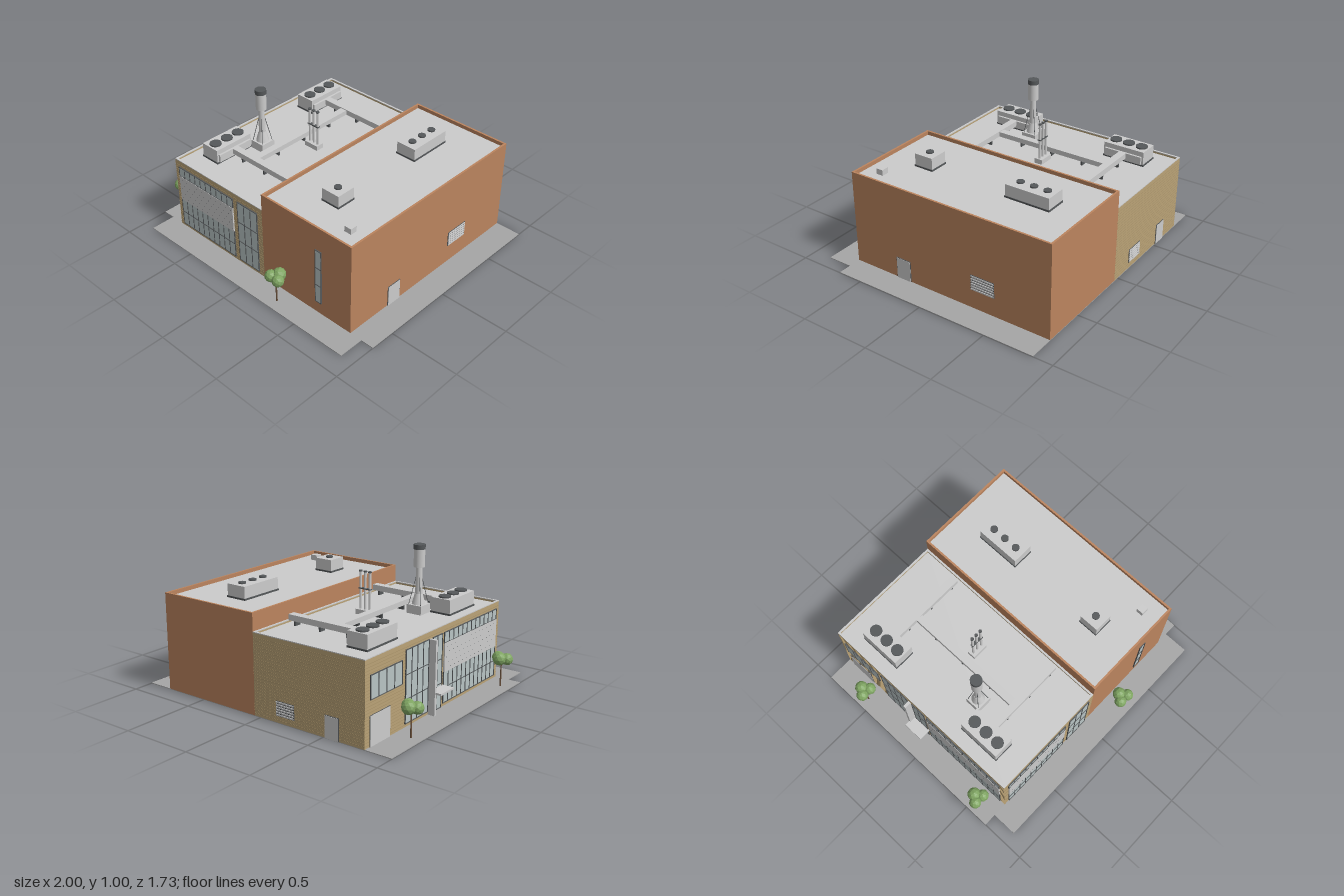
import * as THREE from 'three';
import { mergeGeometries } from 'three/addons/utils/BufferGeometryUtils.js';

const mat = (color) => new THREE.MeshStandardMaterial({ color });
const M = {
  grey: mat(0xcccccc), brown: mat(0xbb845e), tan: mat(0xbaa377), course: mat(0xa99268),
  paving: mat(0xa5a5a5), dark: mat(0x55585a), glass: mat(0xb8c4c4), leaf: mat(0x7fa562), bark: mat(0x6b513c),
};
M.leaf.flatShading = true;

// Box geometry from its limits
function span(x0, x1, y0, y1, z0, z1) {
  return new THREE.BoxGeometry(x1 - x0, y1 - y0, z1 - z0)
    .translate((x0 + x1) / 2, (y0 + y1) / 2, (z0 + z1) / 2);
}
function add(parent, name, geos, material) {
  const mesh = new THREE.Mesh(Array.isArray(geos) ? mergeGeometries(geos) : geos, material);
  mesh.name = name;
  parent.add(mesh);
  return mesh;
}
function group(parent, name) {
  const g = new THREE.Group();
  g.name = name;
  parent.add(g);
  return g;
}
const cyl = (r0, r1, y0, y1, x, z, n = 20) =>
  new THREE.CylinderGeometry(r1, r0, y1 - y0, n).translate(x, (y0 + y1) / 2, z);

// Thin rod between two points
function rod(a, b, r) {
  const p = new THREE.Vector3(...a), q = new THREE.Vector3(...b);
  return new THREE.TubeGeometry(new THREE.LineCurve3(p, q), 1, r, 6);
}

const Z0 = -0.86, Z1 = 0.68, XL = -0.81, XM = 0.045, XR = 0.815;

// Hall with a sunken roof and a parapet
function hall(parent, name, x0, x1, height, roofY, wall, coping) {
  const g = group(parent, name), t = 0.014, c = height - 0.006;
  add(g, 'walls', span(x0, x1, 0.004, roofY - 0.004, Z0, Z1), wall);
  add(g, 'roof', span(x0 + t, x1 - t, roofY - 0.004, roofY, Z0 + t, Z1 - t), M.grey);
  const ring = (a, b) => [
    span(x0, x1, a, b, Z0, Z0 + t), span(x0, x1, a, b, Z1 - t, Z1),
    span(x0, x0 + t, a, b, Z0 + t, Z1 - t), span(x1 - t, x1, a, b, Z0 + t, Z1 - t)];
  add(g, 'parapet', ring(roofY - 0.004, c), wall);
  add(g, 'coping', ring(c, height), coping);
  return g;
}

// Glazing on a wall, in wall coordinates: panes across and up, dark bars
function glazing(wall, name, u0, u1, v0, v1, across, up) {
  const g = group(wall, name), b = 0.002, bars = [];
  add(g, 'glass', span(u0, u1, v0, v1, 0, 0.004), M.glass);
  for (let i = 0; i <= across; i++) {
    const u = u0 + (u1 - u0) * i / across;
    bars.push(span(u - b, u + b, v0, v1, 0, 0.008));
  }
  for (let j = 0; j <= up; j++) {
    const v = v0 + (v1 - v0) * j / up;
    bars.push(span(u0 - b, u1 + b, v - b, v + b, 0, 0.008));
  }
  add(g, 'glazingBars', bars, M.dark);
}

// Wide shopfront: window strip above, perforated screen, tall panes below
function shopfront(wall, u0, u1) {
  const n = Math.round((u1 - u0) / 0.054);
  glazing(wall, 'upperWindows', u0, u1, 0.435, 0.505, n, 1);
  glazing(wall, 'lowerWindows', u0, u1, 0.03, 0.24, n, 2);
  add(wall, 'screen', span(u0, u1, 0.24, 0.435, 0, 0.01), M.grey);
  const holes = [];
  for (let j = 0; j < 5; j++)
    for (let u = u0 + 0.025 + (j % 2) * 0.025; u < u1 - 0.01; u += 0.05)
      holes.push(new THREE.CircleGeometry(0.003, 8).translate(u, 0.265 + j * 0.036, 0.0106));
  add(wall, 'screenHoles', holes, M.dark);
}

function louver(wall, u0, u1, v0, v1) {
  const g = group(wall, 'louver'), slats = [], n = 6, h = (v1 - v0) / n;
  add(g, 'louverBack', span(u0, u1, v0, v1, 0, 0.003), M.dark);
  for (let i = 0; i < n; i++)
    slats.push(span(u0 + 0.004, u1 - 0.004, v0 + h * (i + 0.25), v0 + h * (i + 0.8), 0, 0.008));
  add(g, 'louverSlats', slats, M.grey);
}

function door(wall, u0, u1, v1) {
  add(wall, 'doorFrame', span(u0 - 0.003, u1 + 0.003, 0.004, v1 + 0.003, 0, 0.004), M.dark);
  add(wall, 'door', span(u0, u1, 0.004, v1, 0, 0.006), M.grey);
}

// Rooftop cooling unit with a row of fans along z
function coolingUnit(parent, x0, x1, z0, z1, y0, y1, fanR, fanZ) {
  const g = group(parent, 'coolingUnit'), x = (x0 + x1) / 2;
  add(g, 'unitBase', span(x0 - 0.004, x1 + 0.004, y0, y0 + 0.012, z0 - 0.004, z1 + 0.004), M.dark);
  add(g, 'unitBody', span(x0, x1, y0, y1, z0, z1), M.grey);
  add(g, 'fans', fanZ.map((z) => cyl(fanR, fanR, y1, y1 + 0.01, x, z)), M.dark);
}

function tree(parent, x, z) {
  const g = group(parent, 'tree');
  g.position.set(x, 0, z);
  add(g, 'trunk', cyl(0.006, 0.004, 0, 0.19, 0, 0, 8), M.bark);
  const blobs = [[-0.034, 0.2, 0.012], [0.034, 0.2, 0.016], [0, 0.207, -0.03]].map(([a, b, c], i) =>
    new THREE.IcosahedronGeometry(i === 2 ? 0.046 : 0.042, 1).rotateY(i).translate(a, b, c));
  add(g, 'crown', blobs, M.leaf);
}

export function createModel() {
  const model = new THREE.Group();
  model.name = 'industrialBuilding';

  // Paving
  add(model, 'paving', [span(-1, 1, 0, 0.005, Z0, Z1), span(-0.91, 0.905, 0, 0.005, Z1, 0.86)], M.paving);

  // Two halls
  const low = hall(model, 'lowHall', XL, XM, 0.557, 0.54, M.tan, M.grey);
  hall(model, 'tallHall', XM, XR, 0.677, 0.65, M.brown, M.brown);

  // Brick courses on the low hall
  const courses = [];
  for (let y = 0.02; y < 0.54; y += 0.02)
    courses.push(span(XL - 0.0015, XM, y, y + 0.003, Z0 - 0.0015, Z1 + 0.0015));
  add(low, 'brickCourses', courses, M.course);

  // Wall frames: u runs sideways, v up, outward is local z
  const wall = (name, x, z, turn) => {
    const g = group(model, name);
    g.position.set(x, 0, z);
    g.rotation.y = turn;
    return g;
  };
  const front = wall('frontWall', 0, Z1, 0);
  shopfront(front, -0.77, -0.23);
  glazing(front, 'tallWindow', -0.185, 0, 0.03, 0.505, 3, 3);
  glazing(front, 'slitWindow', 0.52, 0.57, 0.095, 0.505, 1, 3);

  const right = wall('rightSideWall', XL, 0, -Math.PI / 2);
  shopfront(right, -0.02, 0.64);
  glazing(right, 'tallWindow', -0.45, -0.2, 0.03, 0.505, 4, 3);
  glazing(right, 'entrance', -0.155, -0.045, 0.01, 0.505, 2, 3);
  glazing(right, 'upperWindow', -0.81, -0.49, 0.3, 0.45, 4, 1);
  door(right, -0.81, -0.61, 0.2);
  add(right, 'fin', span(-0.19, -0.17, 0.005, 0.505, 0, 0.05), M.grey);
  add(right, 'canopy', span(-0.18, -0.03, 0.147, 0.16, 0, 0.09), M.grey);

  const left = wall('leftSideWall', XR, 0, Math.PI / 2);
  door(left, -0.33, -0.22, 0.155);
  louver(left, 0.27, 0.45, 0.14, 0.25);

  const back = wall('backWall', 0, Z0, Math.PI);
  louver(back, 0.135, 0.28, 0.05, 0.15);
  door(back, 0.52, 0.62, 0.15);

  // Cooling units
  const roof = group(model, 'roofEquipment');
  for (const z of [-0.55, 0.36]) {
    coolingUnit(roof, -0.71, -0.565, z - 0.153, z + 0.153, 0.54, 0.645, 0.041, [z - 0.1, z, z + 0.1]);
    add(roof, 'unitOutlet', span(-0.565, -0.55, 0.555, 0.61, z - 0.14, z + 0.14), M.grey);
  }
  coolingUnit(roof, 0.33, 0.48, -0.62, -0.295, 0.65, 0.742, 0.026, [-0.56, -0.46, -0.36]);
  coolingUnit(roof, 0.337, 0.475, 0.29, 0.43, 0.65, 0.742, 0.026, [0.36]);
  add(roof, 'roofHatch', span(0.65, 0.705, 0.65, 0.69, 0.515, 0.565), M.grey);

  // Ducts on short legs
  add(roof, 'ducts', [
    span(-0.55, 0, 0.57, 0.61, -0.575, -0.522), span(-0.55, 0, 0.57, 0.61, 0.335, 0.385),
    span(-0.392, -0.34, 0.57, 0.605, -0.522, 0.335)], M.grey);
  const legs = [];
  for (const x of [-0.46, -0.25, -0.05])
    for (const z of [-0.549, 0.36]) legs.push(span(x - 0.006, x + 0.006, 0.54, 0.57, z - 0.024, z + 0.024));
  for (const z of [-0.35, -0.1, 0.15]) legs.push(span(-0.39, -0.342, 0.54, 0.57, z - 0.006, z + 0.006));
  add(roof, 'ductLegs', legs, M.dark);

  // Main stack with stays
  const sx = -0.5, sz = 0.155, stack = group(roof, 'stack');
  add(stack, 'stackPlinth', span(sx - 0.056, sx + 0.056, 0.54, 0.6, sz - 0.056, sz + 0.056), M.grey);
  add(stack, 'stackShaft', [
    cyl(0.045, 0.026, 0.6, 0.67, sx, sz), cyl(0.024, 0.02, 0.67, 0.85, sx, sz),
    cyl(0.037, 0.037, 0.85, 0.968, sx, sz)], M.grey);
  add(stack, 'stackCap', cyl(0.039, 0.039, 0.968, 1, sx, sz), M.dark);
  const stays = [];
  for (const a of [-1, 1]) for (const b of [-1, 1])
    stays.push(rod([sx + a * 0.046, 0.6, sz + b * 0.046], [sx + a * 0.014, 0.78, sz + b * 0.014], 0.002));
  add(stack, 'stays', stays, M.dark);

  // Three vent pipes
  const vents = group(roof, 'ventPipes'), px = [-0.286, -0.249, -0.212], pz = -0.095;
  add(vents, 'ventPlinth', span(-0.31, -0.193, 0.54, 0.575, -0.125, -0.065), M.grey);
  add(vents, 'pipes', px.map((x) => cyl(0.009, 0.009, 0.575, 0.825, x, pz, 12)), M.grey);
  add(vents, 'pipeCaps', px.map((x) => cyl(0.012, 0.012, 0.825, 0.833, x, pz, 12)), M.dark);
  add(vents, 'pipeTie', span(-0.297, -0.201, 0.71, 0.717, pz - 0.011, pz + 0.011), M.dark);

  // Trees
  for (const [x, z] of [[-0.925, -0.55], [-0.925, 0.54], [0.27, 0.785]]) tree(model, x, z);

  return model;
}
